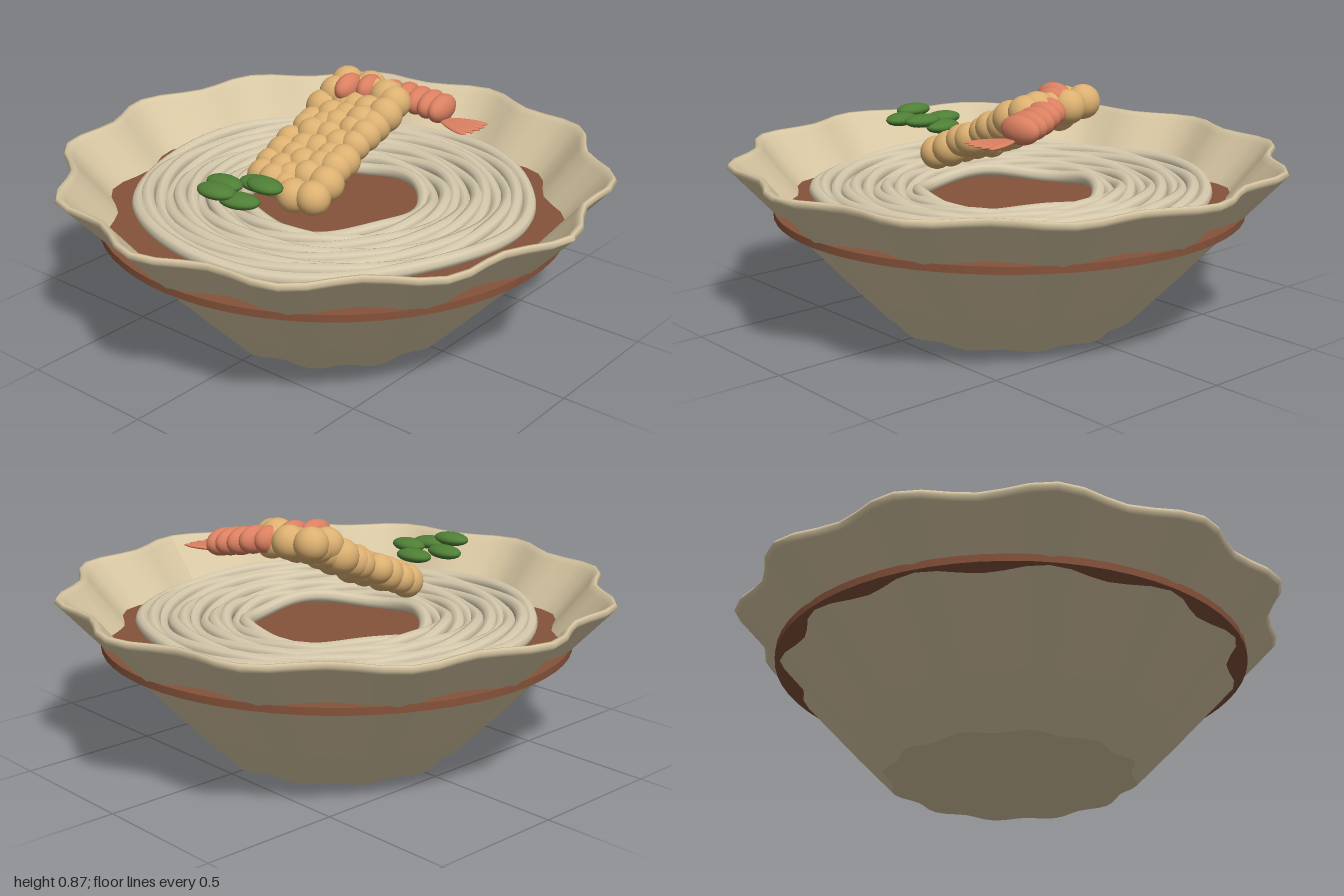
import * as THREE from 'three';

const mat = (name, color, extra = {}) => {
  const m = new THREE.MeshStandardMaterial({ color, ...extra });
  m.name = name;
  return m;
};

// small seeded generator, returns -1..1
function seeded(seed) {
  return () => {
    seed = (seed * 16807) % 2147483647;
    return (seed / 2147483647) * 2 - 1;
  };
}

export function createModel() {
  const model = new THREE.Group();
  model.name = 'noodleBowl';
  const ceramic = mat('ceramic', 0xd8c7a3);
  const broth = mat('broth', 0x85523a);
  const noodle = mat('noodle', 0xd6caad);
  const batter = mat('batter', 0xdcb071);
  const tailRed = mat('tailRed', 0xdb8061);
  const green = mat('green', 0x4f7f36);

  const group = (name) => {
    const g = new THREE.Group();
    g.name = name;
    model.add(g);
    return g;
  };
  const add = (parent, name, geometry, material) => {
    const m = new THREE.Mesh(geometry, material);
    m.name = name;
    parent.add(m);
    return m;
  };
  const ball = new THREE.SphereGeometry(1, 20, 14);
  const blob = (parent, name, material, p, s, yaw = 0, pitch = 0) => {
    const m = add(parent, name, ball, material);
    m.position.set(...p);
    m.scale.set(...s);
    m.rotation.set(pitch, yaw, 0, 'YXZ');
    return m;
  };

  // Bowl: lathe with twelve scallops; repeated points keep edges sharp
  const profile = [
    [0, 0], [0.45, 0], [0.45, 0], [0.6, 0.155], [0.6, 0.155], [0.985, 0.57],
    [1, 0.585], [0.992, 0.6], [0.978, 0.598], [0.965, 0.58], [0.83, 0.425],
    [0.575, 0.17], [0.575, 0.17], [0, 0.17],
  ].map(([r, y]) => new THREE.Vector2(r, y));
  const bowl = new THREE.LatheGeometry(profile, 72);
  const pos = bowl.attributes.position;
  for (let i = 0; i < pos.count; i++) {
    const x = pos.getX(i), z = pos.getZ(i);
    const k = 0.966 + 0.034 * Math.cos(12 * Math.atan2(z, x));
    pos.setX(i, x * k);
    pos.setZ(i, z * k);
  }
  bowl.computeVertexNormals();
  add(model, 'bowl', bowl, ceramic);

  // Broth disc
  const soup = add(model, 'broth', new THREE.CylinderGeometry(0.845, 0.845, 0.026, 64), broth);
  soup.position.y = 0.412;

  // Noodles: gently waving closed rings
  const noodles = group('noodles');
  const rings = 11;
  for (let i = 0; i < rings; i++) {
    const t = i / (rings - 1);
    const r = 0.325 + 0.372 * t;
    const pts = [];
    for (let j = 0; j < 32; j++) {
      const a = (j / 32) * Math.PI * 2;
      const y = 0.452 + 0.026 * t + 0.012 * Math.sin(4 * a + i * 1.9);
      const rr = r + 0.005 * Math.sin(3 * a + i * 2.3);
      pts.push(new THREE.Vector3(rr * Math.cos(a), y, rr * Math.sin(a)));
    }
    const curve = new THREE.CatmullRomCurve3(pts, true);
    add(noodles, 'noodle', new THREE.TubeGeometry(curve, 80, 0.025, 8, true), noodle);
  }

  // Battered body: a sloping slab of lumps
  const shrimp = group('friedShrimp');
  const rnd = seeded(41);
  const rows = 9, cols = 5;
  for (let i = 0; i < rows; i++) {
    for (let j = 0; j < cols; j++) {
      const s = i / (rows - 1), w = j / (cols - 1);
      const x = -0.26 + 0.47 * s + 0.016 * rnd() - (j === 0 ? -0.04 * (1 - s) : 0);
      const y = 0.575 + 0.45 * (x + 0.26) + 0.006 * rnd();
      const z = -0.13 + 0.25 * w + 0.012 * rnd();
      blob(shrimp, 'batterLump', batter, [x, y, z], new Array(3).fill(0.059 + 0.005 * rnd()));
    }
  }
  for (const p of [[0.24, 0.8, -0.13], [0.26, 0.795, -0.04], [0.25, 0.78, 0.06], [0.16, 0.785, -0.12]]) {
    blob(shrimp, 'batterLump', batter, p, [0.061, 0.061, 0.061]);
  }

  // Tail: overlapping flattened segments
  const tail = group('shrimpTail');
  const segments = [
    [0.165, 0.815, -0.065, 0.075], [0.215, 0.81, -0.01, 0.068], [0.265, 0.79, 0.055, 0.068],
    [0.29, 0.785, 0.105, 0.072], [0.305, 0.775, 0.15, 0.075], [0.315, 0.768, 0.195, 0.08],
    [0.322, 0.76, 0.237, 0.08],
  ];
  segments.forEach(([x, y, z, w]) => {
    blob(tail, 'tailSegment', tailRed, [x, y, z], [w, 0.05, 0.04], 0.12);
  });
  // Tail fan
  for (let i = -2; i <= 2; i++) {
    const a = i * 0.2 - 0.03;
    blob(tail, 'tailFin', tailRed,
      [0.305 + 0.09 * Math.sin(a), 0.726, 0.245 + 0.09 * Math.cos(a)],
      [0.022, 0.008, 0.085], a);
  }

  // Green beans
  const beans = group('greenBeans');
  const beanSpots = [
    [-0.582, 0.668, -0.018, 0.05], [-0.478, 0.645, -0.08, -0.05], [-0.388, 0.633, -0.008, 0.1],
    [-0.555, 0.645, 0.06, 0.25], [-0.428, 0.657, 0.058, -0.08],
  ];
  for (const [x, y, z, yaw] of beanSpots) {
    blob(beans, 'bean', green, [x, y, z], [0.048, 0.025, 0.074], yaw);
  }
  return model;
}
